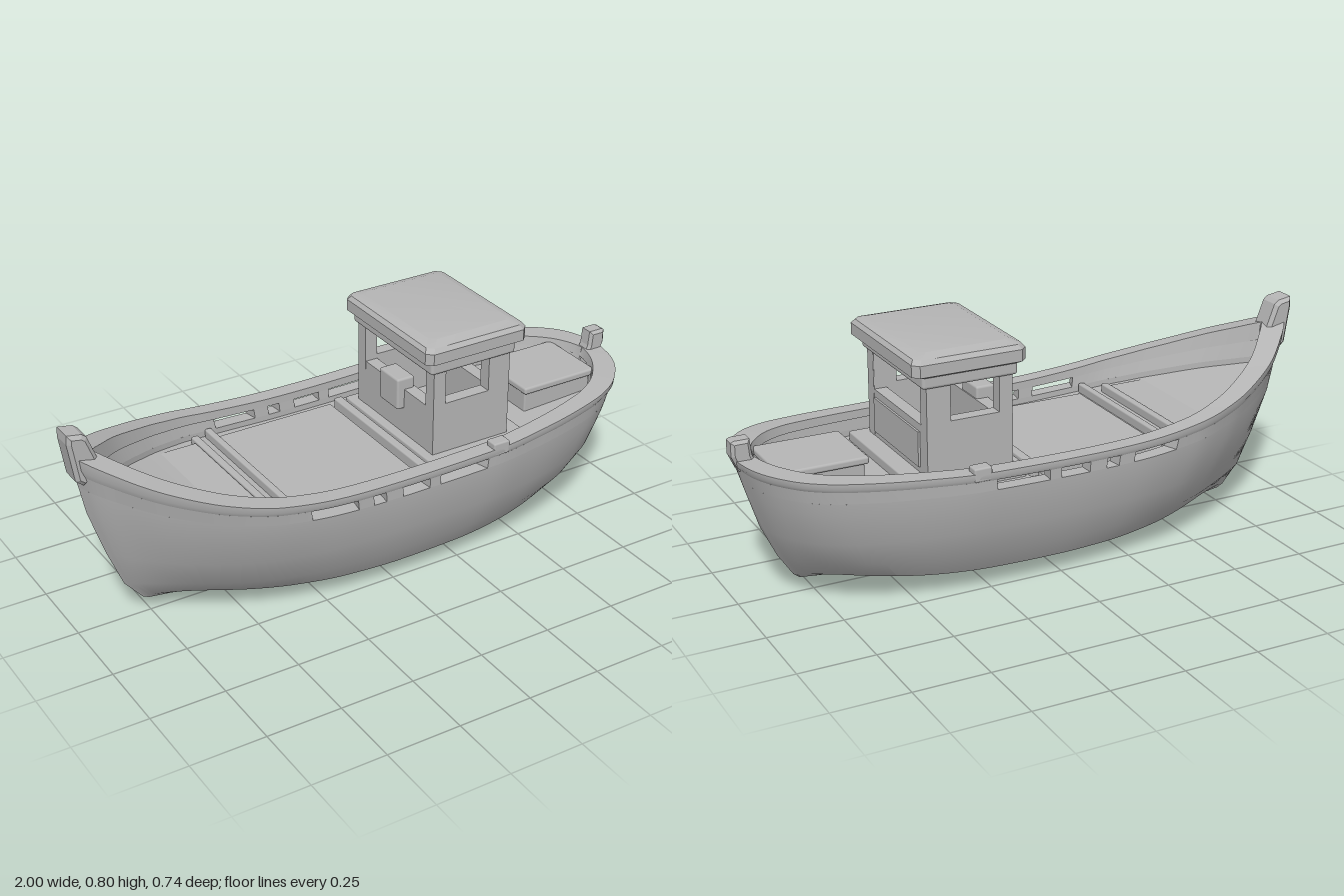
import * as THREE from 'three';
import { toCreasedNormals } from 'three/addons/utils/BufferGeometryUtils.js';
import { RoundedBoxGeometry } from 'three/addons/geometries/RoundedBoxGeometry.js';

const grey = new THREE.MeshStandardMaterial({ color: 0xb5b5b5, side: THREE.DoubleSide });
grey.name = 'plain grey';

// Half-breadth along the boat (0 = bow, 1 = stern) at the rail and at the chine
const FULL = [[0, 0], [0.012, 0.13], [0.04, 0.3], [0.09, 0.55], [0.14, 0.72], [0.19, 0.85], [0.27, 0.965], [0.38, 1],
  [0.66, 1], [0.75, 0.95], [0.88, 0.81], [0.93, 0.69], [0.97, 0.48], [0.99, 0.27], [1, 0]];
const FINE = [[0, 0], [0.04, 0.17], [0.09, 0.34], [0.19, 0.64], [0.27, 0.81], [0.38, 0.95], [0.5, 1],
  [0.64, 0.98], [0.75, 0.91], [0.88, 0.71], [0.94, 0.5], [0.98, 0.23], [1, 0]];

// Waterlines from keel to rail: fullness, half-breadth, bow x, stern x, y at bow, middle, stern, rise at the quarters
const LEVELS = [
  [0, 0, -0.755, 0.795, 0.05, 0.003, 0.05, 0],
  [0, 0.26, -0.775, 0.815, 0.06, 0.07, 0.065, 0.045],
  [0.35, 0.302, -0.835, 0.865, 0.13, 0.14, 0.14, 0.03],
  [0.6, 0.337, -0.887, 0.917, 0.26, 0.24, 0.25, 0],
  [0.84, 0.358, -0.94, 0.955, 0.42, 0.34, 0.37, 0],
  [0.9, 0.362, -0.96, 0.967, 0.52, 0.38, 0.41, 0],
  [0.96, 0.363, -0.975, 0.98, 0.58, 0.413, 0.455, 0],
  [1, 0.363, -0.985, 0.987, 0.645, 0.44, 0.487, 0],
];

// Smooth curve through the table rows, without overshoot
function table(rows, u) {
  let i = 1;
  while (i < rows.length - 1 && rows[i][0] < u) i++;
  const slope = k => (rows[k][1] - rows[k - 1][1]) / (rows[k][0] - rows[k - 1][0]);
  const tangent = k => {
    if (k === 0) return slope(1);
    if (k === rows.length - 1) return slope(k);
    const a = slope(k), b = slope(k + 1);
    return a * b > 0 ? 2 * a * b / (a + b) : 0;
  };
  const [u0, p] = rows[i - 1], [u1, q] = rows[i];
  const h = u1 - u0, t = (u - u0) / h, s = 1 - t;
  return s * s * (1 + 2 * t) * p + t * t * (3 - 2 * t) * q + h * t * s * (s * tangent(i - 1) - t * tangent(i));
}

// Point on a waterline, moved inboard by inset
function hullPoint(level, u, inset = 0) {
  const [mix, beam, bow, stern, yBow, yMid, yStern, rise] = LEVELS[level];
  const z = beam * THREE.MathUtils.lerp(table(FINE, u), table(FULL, u), mix);
  const t = Math.abs(u - 0.5) * 2;
  const end = u < 0.5 ? (yBow - yMid) * t ** 2.5 : (yStern - yMid) * t ** 1.9;
  const y = yMid + end + rise * (u < 0.5 ? 0.9 : 1.6) * t ** 3 * (1 - t ** 8);
  const x = (bow + (stern - bow) * u) * (1 - inset);
  return new THREE.Vector3(x, y, Math.max(0, z - inset * Math.min(1, z / 0.04)));
}

// Skin through cross-sections between two stations, mirrored to both sides
function loft(section, u0, u1, n, closed) {
  const pos = [];
  const tri = (a, b, c) => {
    for (const p of [a, b, c]) pos.push(p.x, p.y, p.z);
    for (const p of [a, c, b]) pos.push(p.x, p.y, -p.z);
  };
  const rings = [];
  for (let i = 0; i <= n; i++) rings.push(section(u0 + (u1 - u0) * (1 - Math.cos(Math.PI * i / n)) / 2));
  const m = rings[0].length;
  for (let i = 0; i < n; i++) {
    for (let j = 0; j < (closed ? m : m - 1); j++) {
      const k = (j + 1) % m, a = rings[i], b = rings[i + 1];
      tri(a[j], b[j], b[k]);
      tri(a[j], b[k], a[k]);
    }
  }
  if (closed) {
    for (let j = 1; j < m - 1; j++) {
      tri(rings[0][0], rings[0][j], rings[0][j + 1]);
      tri(rings[n][0], rings[n][j + 1], rings[n][j]);
    }
  }
  const g = new THREE.BufferGeometry();
  g.setAttribute('position', new THREE.Float32BufferAttribute(pos, 3));
  return toCreasedNormals(g, 0.6);
}

function add(parent, name, geometry) {
  const mesh = new THREE.Mesh(geometry, grey);
  mesh.name = name;
  parent.add(mesh);
  return mesh;
}

// Box given by its extents, optionally with rounded edges
function box(parent, name, x0, x1, y0, y1, z0, z1, r = 0) {
  const s = [x1 - x0, y1 - y0, z1 - z0];
  const mesh = add(parent, name, r ? new RoundedBoxGeometry(...s, 2, r) : new THREE.BoxGeometry(...s));
  mesh.position.set((x0 + x1) / 2, (y0 + y1) / 2, (z0 + z1) / 2);
  return mesh;
}

// Upright wall with one window opening, extruded along z
function windowWall(w, y0, y1, a, b, sill, head, depth) {
  const rect = (T, x0, x1, p, q) => {
    const s = new T();
    s.moveTo(x0, p).lineTo(x1, p).lineTo(x1, q).lineTo(x0, q).closePath();
    return s;
  };
  const shape = rect(THREE.Shape, w[0], w[1], y0, y1);
  shape.holes.push(rect(THREE.Path, a, b, sill, head));
  return new THREE.ExtrudeGeometry(shape, { depth, bevelEnabled: false });
}

// Solid profile in x and y, centred on z = 0
function profile(points, width, bevel) {
  const shape = new THREE.Shape(points.map(p => new THREE.Vector2(...p)));
  const g = new THREE.ExtrudeGeometry(shape,
    { depth: width - 2 * bevel, bevelThickness: bevel, bevelSize: bevel, bevelOffset: -bevel, bevelSegments: 1 });
  return g.translate(0, 0, bevel - width / 2);
}

// Roof slab: rings of half-length, half-width, height and corner cut, lofted upward
function roofSlab(rings) {
  const pos = [];
  const corners = rings.map(([a, b, y, c]) => [[a, b - c], [a - c, b], [c - a, b], [-a, b - c],
    [-a, c - b], [c - a, -b], [a - c, -b], [a, c - b]].map(([x, z]) => [x, y, z]));
  for (let i = 0; i < rings.length - 1; i++) {
    for (let j = 0; j < 8; j++) {
      const k = (j + 1) % 8, p = corners[i], q = corners[i + 1];
      pos.push(...p[k], ...p[j], ...q[j], ...p[k], ...q[j], ...q[k]);
    }
  }
  const top = corners[rings.length - 1], base = corners[0];
  for (let j = 1; j < 7; j++) {
    pos.push(...top[0], ...top[j + 1], ...top[j], ...base[0], ...base[j], ...base[j + 1]);
  }
  const g = new THREE.BufferGeometry();
  g.setAttribute('position', new THREE.Float32BufferAttribute(pos, 3));
  return toCreasedNormals(g, 0.3);
}

export function createModel() {
  const boat = new THREE.Group();
  boat.name = 'fishingBoat';
  const T = 0.048;

  // Hull bottom and sides, with the deck inside
  add(boat, 'hullAndDeck', loft(u => {
    const edge = hullPoint(5, u, T);
    const deck = edge.clone().setY(edge.y - 0.02);
    return [0, 1, 2, 3, 4, 5].map(l => hullPoint(l, u)).concat([edge, deck, deck.clone().setZ(0)]);
  }, 0, 1, 90, false));

  // Bulwark with slots amidships, solid between them
  const bulwark = u => [hullPoint(5, u), hullPoint(6, u), hullPoint(6, u, T), hullPoint(5, u, T)];
  const toU = x => (x + 0.965) / 1.935;
  const solids = [[-0.965, -0.36], [-0.2, -0.145], [-0.1, -0.04], [0.06, 0.1], [0.28, 0.97]];
  for (const [a, b] of solids) {
    add(boat, 'bulwark', loft(bulwark, toU(a), toU(b), b - a > 0.2 ? 40 : 3, true));
  }
  add(boat, 'rail', loft(u => [hullPoint(6, u), hullPoint(7, u, -0.005).lerp(hullPoint(6, u, -0.005), 0.6),
    hullPoint(7, u, -0.004), hullPoint(7, u, T + 0.004), hullPoint(6, u, T + 0.004)], 0, 1, 90, true));

  // Posts at the two ends
  add(boat, 'stemPost', profile([[-0.955, 0.54], [-0.9, 0.57], [-0.905, 0.62], [-0.935, 0.7], [-0.95, 0.712],
    [-0.998, 0.72], [-1, 0.69], [-0.98, 0.56]], 0.09, 0.012));
  add(boat, 'sternPost', profile([[0.94, 0.44], [0.978, 0.45], [1, 0.5], [1, 0.545], [0.99, 0.55],
    [0.94, 0.55], [0.935, 0.5], [0.92, 0.46]], 0.06, 0.01));

  // Rail chocks
  for (const s of [-1, 1]) {
    box(boat, 'railChock', 0.3, 0.36, 0.42, 0.465, s * 0.345 - 0.022, s * 0.345 + 0.022, 0.006);
  }

  // Deck fittings
  box(boat, 'holdHatch', -0.355, 0.08, 0.34, 0.38, -0.275, 0.27, 0.006);
  box(boat, 'forwardCoaming', -0.385, -0.362, 0.34, 0.405, -0.3, 0.3, 0.006);
  box(boat, 'foredeckBeam', -0.45, -0.425, 0.34, 0.41, -0.27, 0.25, 0.006);
  box(boat, 'aftCoaming', 0.09, 0.12, 0.34, 0.4, -0.27, 0.3, 0.006);
  box(boat, 'foredeckPlanking', -0.65, -0.45, 0.34, 0.405, -0.235, 0.235, 0.006);
  box(boat, 'sternLocker', 0.61, 0.88, 0.36, 0.445, -0.115, 0.105, 0.006);
  box(boat, 'sternLockerLid', 0.6, 0.89, 0.443, 0.468, -0.13, 0.12, 0.008);

  // Wheelhouse
  const house = new THREE.Group();
  house.name = 'wheelhouse';
  boat.add(house);
  box(house, 'plinth', 0.13, 0.51, 0.34, 0.4, -0.26, 0.26, 0.006);
  for (const z of [-0.225, 0.18]) {
    add(house, 'sideWall', windowWall([0.16, 0.45], 0.38, 0.71, 0.205, 0.37, 0.575, 0.695, 0.045)).position.z = z;
  }
  for (const x of [0.16, 0.405]) {
    const wall = add(house, 'endWall', windowWall([-0.222, 0.222], 0.38, 0.71, -0.178, 0.178, 0.56, 0.69, 0.043));
    wall.rotation.y = Math.PI / 2;
    wall.position.x = x + 0.001;
  }
  box(house, 'aftPanel', 0.449, 0.456, 0.42, 0.535, -0.17, 0.17);
  box(house, 'forwardBox', 0.135, 0.2, 0.49, 0.6, -0.055, 0.055, 0.008);
  box(house, 'eaves', 0.145, 0.465, 0.69, 0.74, -0.233, 0.233, 0.01);
  add(house, 'roof', roofSlab([[0.175, 0.24, 0.73, 0.02], [0.19, 0.252, 0.737, 0.02], [0.19, 0.252, 0.775, 0.02],
    [0.18, 0.24, 0.789, 0.02], [0.15, 0.205, 0.8, 0.02]])).position.x = 0.31;
  return boat;
}
